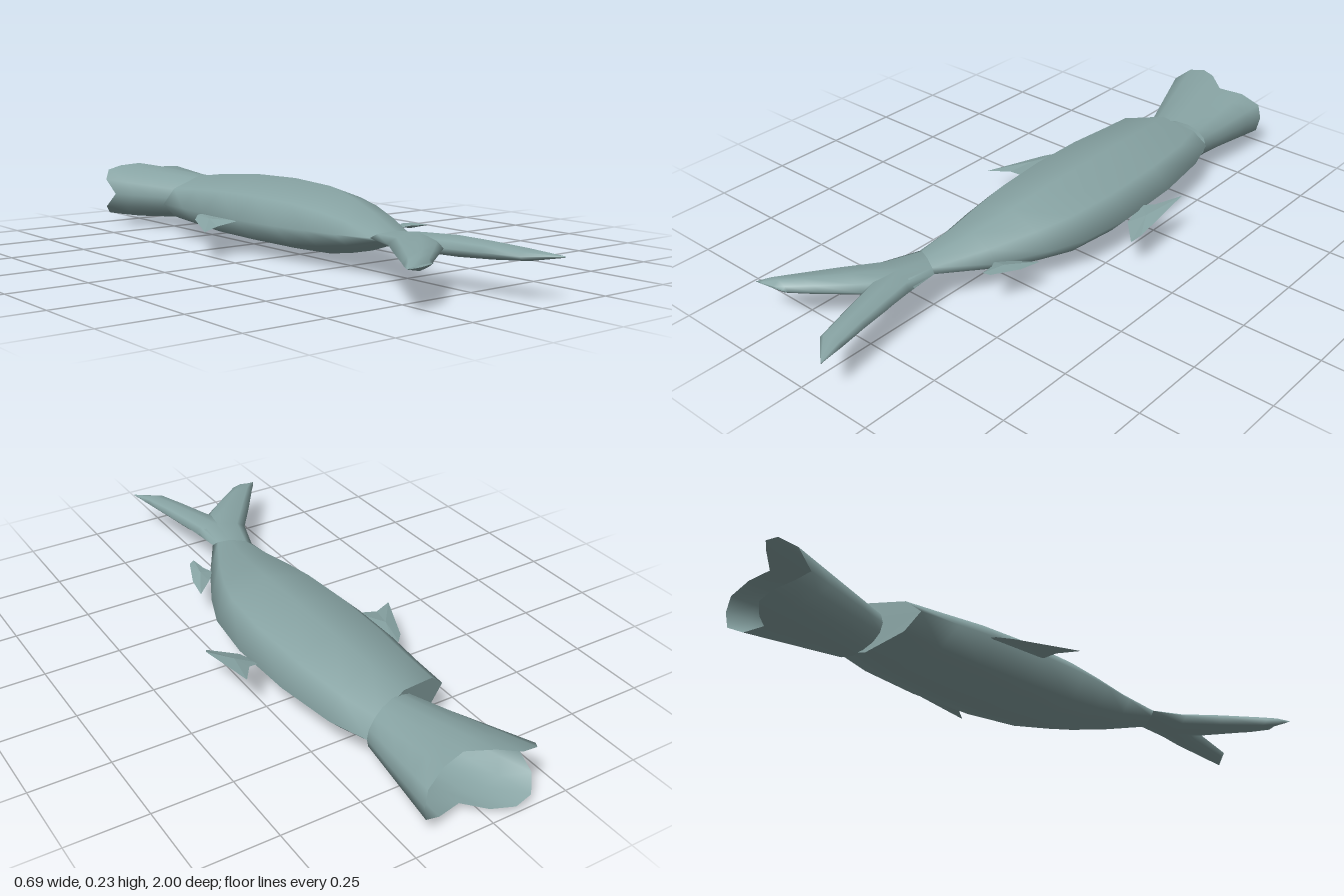
import * as THREE from 'three';

const skin = new THREE.MeshStandardMaterial({ color: 0x88a4a4, side: THREE.DoubleSide });
skin.name = 'greySkin';
const MID = 0.117;

function makeMesh(name, points, index, flat = false) {
  let geo = new THREE.BufferGeometry();
  geo.setAttribute('position', new THREE.Float32BufferAttribute(points.flat(), 3));
  geo.setIndex(index);
  if (flat) geo = geo.toNonIndexed();
  geo.computeVertexNormals();
  const mesh = new THREE.Mesh(geo, skin);
  mesh.name = name;
  return mesh;
}

// Skin a list of equal-length rings ordered towards +z
function loft(name, rings) {
  const n = rings[0].length, index = [];
  for (let i = 0; i < rings.length - 1; i++)
    for (let j = 0; j < n; j++) {
      const k = (j + 1) % n, a = i * n + j, b = i * n + k, c = a + n, d = b + n;
      index.push(a, c, b, b, c, d);
    }
  return makeMesh(name, rings.flat(), index);
}

// Flat lid on a ring, facing -z
function lid(name, ring) {
  const index = [];
  for (let j = 1; j < ring.length - 1; j++) index.push(0, j, j + 1);
  return makeMesh(name, ring, index);
}

// Eight-sided section between a left edge and a right edge, half height h
const U = [0, 0.16, 0.55, 0.86, 1, 0.86, 0.55, 0.16];
const V = [0, 0.6, 1, 0.58, 0, -0.58, -1, -0.6];
const section = ([xl, zl, xr, zr, h, y = MID]) =>
  U.map((u, i) => [xl + (xr - xl) * u, y + h * V[i], zl + (zr - zl) * u]);

// Thin lens-shaped fin from an outline
function fin(name, outline, thickness) {
  const n = outline.length, index = [];
  const c = [0, 1, 2].map(k => outline.reduce((s, p) => s + p[k], 0) / n);
  const points = [...outline, [c[0], c[1] + thickness, c[2]], [c[0], c[1] - thickness, c[2]]];
  for (let j = 0; j < n; j++) {
    const k = (j + 1) % n;
    index.push(j, n, k, k, n + 1, j);
  }
  return makeMesh(name, points, index, true);
}

export function createModel() {
  const model = new THREE.Group();
  model.name = 'fish';

  // Body, with a slanted gill edge in front of the head
  const body = [
    [-0.165, -0.55, 0.17, -0.66, 0.08],
    [-0.17, -0.42, 0.215, -0.53, 0.097],
    [-0.18, -0.28, 0.245, -0.33, 0.111],
    [-0.18, -0.1, 0.255, -0.1, 0.115],
    [-0.165, 0.08, 0.235, 0.08, 0.107],
    [-0.145, 0.2, 0.19, 0.2, 0.088],
    [-0.12, 0.32, 0.115, 0.35, 0.058],
    [-0.1, 0.45, 0.02, 0.51, 0.018, 0.122],
  ].map(section);
  model.add(loft('body', body), lid('gillFace', body[0]));

  // Head: an open tube flaring to a wavy mouth rim
  const upper = [
    [-0.155, 0, -0.9], [-0.165, 0.05, -0.95], [-0.13, 0.08, -0.993], [-0.075, 0.092, -1],
    [-0.015, 0.1, -0.965], [0.05, 0.087, -0.915], [0.13, 0.082, -0.935], [0.19, 0.05, -0.955],
    [0.2, 0, -0.96],
  ];
  const lower = upper.slice(1, 8).reverse().map(([x, y, z]) => [x, -y, z]);
  const rim = [...upper, ...lower].map(([x, y, z]) => [x, MID + y, z]);
  const neck = rim.map((_, i) => {
    const t = (i / rim.length) * Math.PI * 2, u = (1 - Math.cos(t)) / 2;
    return [-0.035 + 0.205 * u, MID + 0.075 * Math.sin(t), -0.585 - 0.07 * u];
  });
  const head = [0, 0.25, 0.5, 0.75, 1].map(t =>
    rim.map((p, i) => p.map((v, k) => v + (neck[i][k] - v) * t)));
  model.add(loft('head', head));

  // Forked tail, one lobe to each side
  const y = 0.124;
  const tail = new THREE.Group();
  tail.name = 'tail';
  const root = [-0.1, 0.45, 0.02, 0.51, 0.018, y - 0.002];
  tail.add(loft('rightTailLobe', [
    root,
    [-0.14, 0.57, 0.03, 0.6, 0.028, y],
    [-0.215, 0.675, -0.065, 0.71, 0.029, y],
    [-0.3, 0.8, -0.16, 0.785, 0.024, y],
    [-0.325, 0.835, -0.23, 0.84, 0.018, y],
    [-0.342, 0.865, -0.23, 0.842, 0.003, y - 0.002],
  ].map(section)));
  tail.add(loft('leftTailLobe', [
    root,
    [-0.12, 0.57, 0.032, 0.62, 0.028, y],
    [-0.065, 0.71, 0.043, 0.7, 0.03, y],
    [-0.033, 0.815, 0.06, 0.81, 0.025, y],
    [0, 0.92, 0.078, 0.91, 0.017, y],
    [0.088, 0.995, 0.09, 0.995, 0.002, y],
  ].map(section)));
  model.add(tail);

  // Side fins
  model.add(fin('leftFrontFin', [
    [0.235, 0.118, -0.19], [0.28, 0.13, -0.205], [0.33, 0.147, -0.28], [0.343, 0.115, -0.05],
    [0.328, 0.1, -0.02], [0.255, 0.105, -0.1],
  ], 0.008));
  model.add(fin('leftRearFin', [
    [0.105, 0.12, 0.35], [0.14, 0.118, 0.31], [0.2, 0.113, 0.255], [0.19, 0.12, 0.33],
    [0.155, 0.132, 0.42], [0.135, 0.135, 0.43], [0.125, 0.128, 0.38],
  ], 0.008));
  model.add(fin('rightFin', [
    [-0.165, 0.113, -0.1], [-0.24, 0.1, -0.11], [-0.31, 0.093, -0.075], [-0.225, 0.103, -0.26],
    [-0.19, 0.11, -0.3], [-0.165, 0.113, -0.31],
  ], 0.008));

  return model;
}
